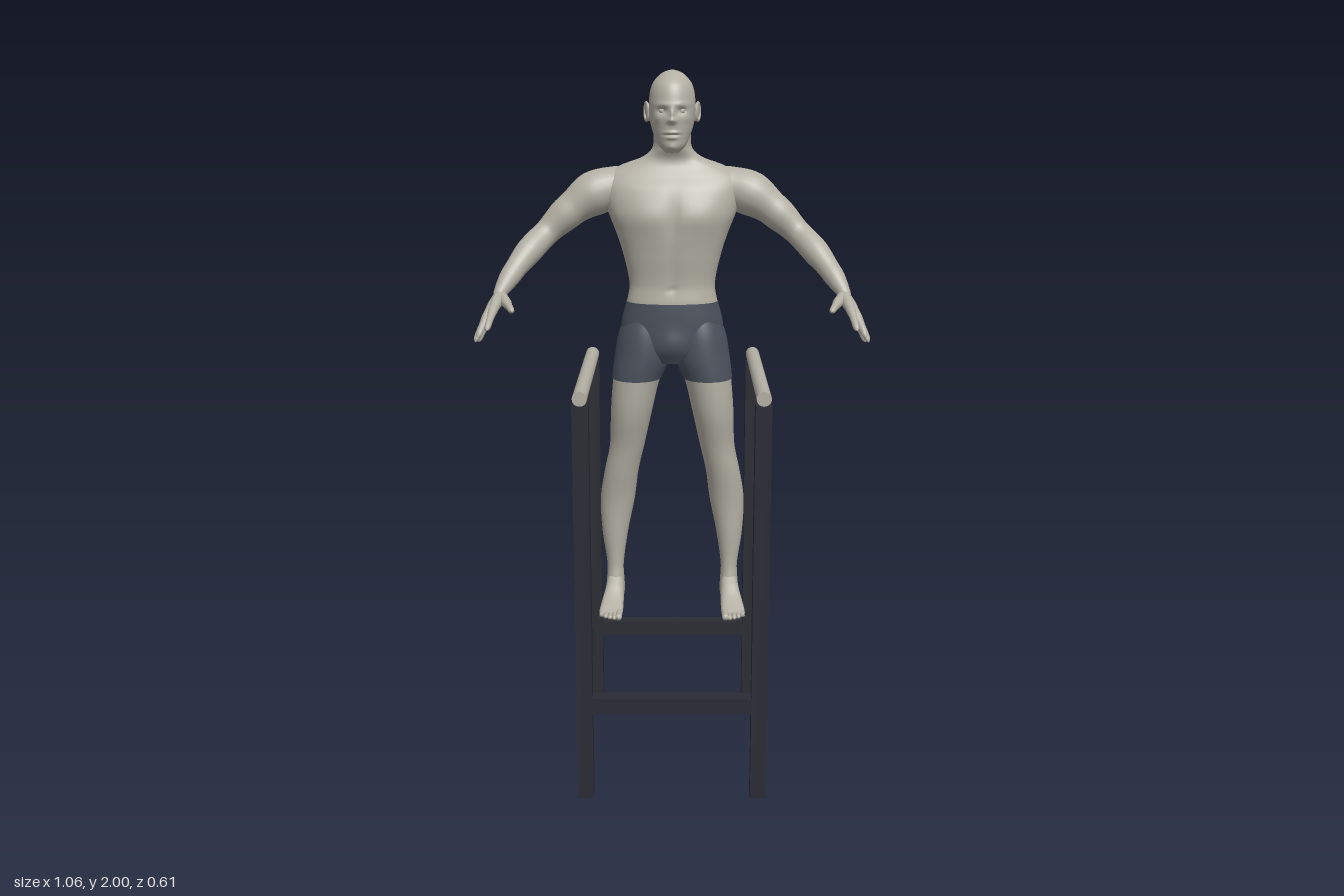
import * as THREE from 'three';
import { mergeVertices } from 'three/addons/utils/BufferGeometryUtils.js';

const mat = (name, color) => {
  const m = new THREE.MeshStandardMaterial({ color });
  m.name = name;
  return m;
};

// Smooth interpolation of section rows [t, centreX, halfWidth, front, back]
function sample(keys, t) {
  let i = 0;
  while (i < keys.length - 2 && t > keys[i + 1][0]) i++;
  const a = keys[i], b = keys[i + 1], h = b[0] - a[0];
  const p = keys[i - 1] || a, n = keys[i + 2] || b;
  const s = THREE.MathUtils.clamp((t - a[0]) / h, 0, 1), s2 = s * s, s3 = s2 * s;
  return [1, 2, 3, 4].map((c) => {
    const ma = ((b[c] - p[c]) / (b[0] - p[0])) * h, mb = ((n[c] - a[c]) / (n[0] - a[0])) * h;
    return (2 * s3 - 3 * s2 + 1) * a[c] + (s3 - 2 * s2 + s) * ma + (3 * s2 - 2 * s3) * b[c] + (s3 - s2) * mb;
  });
}

// Loft of upright rings; bumps are [side, x, y, radiusX, radiusY, height], mirrored in x
function loft(keys, y0, y1, { rings = 40, segs = 48, e = 1, grow = 0, bumps = [] } = {}) {
  const pos = [], idx = [];
  const pow = (v) => Math.sign(v) * Math.abs(v) ** e;
  for (let j = 0; j <= rings; j++) {
    const y = y0 + ((y1 - y0) * j) / rings;
    const [cx, hw, f, b] = sample(keys, y);
    for (let i = 0; i < segs; i++) {
      const a = (i / segs) * Math.PI * 2, s = Math.sin(a);
      const x = cx + (hw + grow) * pow(Math.cos(a));
      let z = (f + b) / 2 + ((f - b) / 2 + grow) * pow(s);
      for (const [side, bx, by, rx, ry, amp] of bumps) {
        if (s * side <= 0) continue;
        const dx = (Math.abs(x) - bx) / rx, dy = (y - by) / ry;
        z += side * amp * Math.exp(-dx * dx - dy * dy) * Math.min(1, Math.abs(s) * 2);
      }
      pos.push(x, y, z);
    }
  }
  for (let j = 0; j < rings; j++) for (let i = 0; i < segs; i++) {
    const a = j * segs + i, b = j * segs + ((i + 1) % segs);
    idx.push(a, a + segs, b, b, a + segs, b + segs);
  }
  // End caps with their own vertices so that the rims stay crisp
  for (const [j, top] of [[0, false], [rings, true]]) {
    const start = pos.length / 3, ring = pos.slice(j * segs * 3, (j + 1) * segs * 3);
    const [cx, , f, b] = sample(keys, top ? y1 : y0);
    pos.push(...ring, cx, top ? y1 : y0, (f + b) / 2);
    for (let i = 0; i < segs; i++) {
      const p = start + i, q = start + ((i + 1) % segs);
      idx.push(start + segs, top ? q : p, top ? p : q);
    }
  }
  const g = new THREE.BufferGeometry();
  g.setAttribute('position', new THREE.Float32BufferAttribute(pos, 3));
  g.setIndex(idx);
  g.computeVertexNormals();
  return g;
}

// Round limb along points [x, y, z, radius] with a rounded end
function limb(pts, steps = 24, segs = 14) {
  const curve = new THREE.CatmullRomCurve3(pts.map((p) => new THREE.Vector3(p[0], p[1], p[2])));
  const g = new THREE.TubeGeometry(curve, steps, 1, segs);
  const P = g.attributes.position, v = new THREE.Vector3();
  for (let k = 0; k < P.count; k++) {
    const u = Math.floor(k / (segs + 1)) / steps, c = curve.getPointAt(u);
    const t = curve.getUtoTmapping(u) * (pts.length - 1), i = Math.min(Math.floor(t), pts.length - 2);
    const w = THREE.MathUtils.smoothstep(t - i, 0, 1);
    let r = THREE.MathUtils.lerp(pts[i][3], pts[i + 1][3], w);
    if (u > 0.9) r *= Math.sqrt(Math.max(0.0004, 1 - ((u - 0.9) / 0.1) ** 2));
    v.fromBufferAttribute(P, k).sub(c).multiplyScalar(r).add(c);
    P.setXYZ(k, v.x, v.y, v.z);
  }
  g.deleteAttribute('uv');
  g.deleteAttribute('normal');
  const merged = mergeVertices(g, 1e-5);
  merged.computeVertexNormals();
  return merged;
}

const TORSO = [
  [1.2, 0, 0.05, 0.03, -0.07], [1.24, 0, 0.13, 0.045, -0.11], [1.3, 0, 0.142, 0.05, -0.122],
  [1.37, 0, 0.127, 0.05, -0.108], [1.42, 0, 0.12, 0.045, -0.1], [1.5, 0, 0.136, 0.054, -0.114],
  [1.56, 0, 0.155, 0.06, -0.126], [1.62, 0, 0.178, 0.058, -0.134], [1.68, 0, 0.19, 0.042, -0.134],
  [1.72, 0, 0.183, 0.015, -0.124], [1.745, 0, 0.14, 0, -0.115], [1.765, 0, 0.085, -0.002, -0.108],
  [1.79, 0, 0.056, 0.01, -0.102], [1.83, 0, 0.051, 0.018, -0.098], [1.87, 0, 0.045, 0.015, -0.092],
];
const TORSO_BUMPS = [
  [1, 0.075, 1.61, 0.065, 0.045, 0.009], [1, 0, 1.6, 0.014, 0.07, -0.007], [1, 0, 1.46, 0.012, 0.07, -0.004],
  [1, 0, 1.41, 0.008, 0.008, -0.005], [-1, 0, 1.54, 0.02, 0.15, -0.012], [-1, 0.085, 1.65, 0.045, 0.055, 0.007],
  [-1, 0.065, 1.29, 0.05, 0.05, 0.01], [-1, 0, 1.28, 0.014, 0.06, -0.018], [1, 0, 1.25, 0.035, 0.04, 0.01],
];
const HEAD = [
  [1.782, 0, 0.018, 0.054, 0.01], [1.8, 0, 0.036, 0.065, -0.025], [1.82, 0, 0.046, 0.068, -0.055],
  [1.85, 0, 0.057, 0.071, -0.086], [1.88, 0, 0.062, 0.073, -0.099], [1.92, 0, 0.063, 0.07, -0.102],
  [1.96, 0, 0.055, 0.056, -0.09], [1.985, 0, 0.036, 0.028, -0.064], [1.996, 0, 0.018, 0.003, -0.04],
  [2, 0, 0.002, -0.016, -0.02],
];
const HEAD_BUMPS = [
  [1, 0.026, 1.893, 0.013, 0.009, -0.01], [1, 0.025, 1.91, 0.02, 0.007, 0.003], [1, 0.04, 1.872, 0.012, 0.012, 0.003],
  [1, 0, 1.885, 0.007, 0.017, 0.009], [1, 0, 1.868, 0.012, 0.008, 0.011], [1, 0, 1.837, 0.018, 0.004, 0.005],
  [1, 0, 1.823, 0.016, 0.005, 0.005], [1, 0, 1.83, 0.02, 0.0025, -0.004], [1, 0, 1.797, 0.016, 0.01, 0.004],
];
const LEG = [
  [0.468, 0.168, 0.022, -0.02, -0.09], [0.49, 0.168, 0.026, -0.01, -0.098], [0.53, 0.168, 0.026, -0.01, -0.084],
  [0.58, 0.168, 0.024, -0.018, -0.078], [0.68, 0.168, 0.038, -0.015, -0.098], [0.78, 0.16, 0.05, -0.01, -0.113],
  [0.87, 0.147, 0.049, 0.005, -0.1], [0.95, 0.13, 0.05, 0.018, -0.092], [1.05, 0.117, 0.059, 0.042, -0.1],
  [1.15, 0.101, 0.067, 0.05, -0.102], [1.215, 0.083, 0.077, 0.051, -0.118], [1.28, 0.078, 0.07, 0.045, -0.12],
  [1.34, 0.072, 0.05, 0.03, -0.09],
];
// Foot sections run heel to toe: [z, centreX, halfWidth, -bottom, -top]
const FOOT = [
  [-0.099, 0.167, 0.01, -0.475, -0.5], [-0.085, 0.167, 0.023, -0.464, -0.53], [-0.04, 0.168, 0.026, -0.464, -0.56],
  [0, 0.17, 0.028, -0.466, -0.54], [0.04, 0.174, 0.032, -0.464, -0.51], [0.085, 0.177, 0.034, -0.464, -0.488],
  [0.1, 0.177, 0.03, -0.467, -0.482],
];

export function createModel() {
  const skin = mat('skin', 0xb3afa3), cloth = mat('shorts fabric', 0x4b515d);
  const steel = mat('dark frame', 0x2b2b34), wood = mat('pale rail', 0xb3afa3);
  const root = new THREE.Group(), body = new THREE.Group(), frame = new THREE.Group();
  body.name = 'athlete';
  frame.name = 'parallelBars';
  root.add(body, frame);
  const add = (parent, name, geo, m, x = 0, y = 0, z = 0) => {
    const mesh = new THREE.Mesh(geo, m);
    mesh.name = name;
    mesh.position.set(x, y, z);
    parent.add(mesh);
    return mesh;
  };

  // Frame: four posts, two rails, two low braces
  for (const s of [-1, 1]) {
    for (const z of [-0.28, 0.28]) add(frame, 'post', new THREE.BoxGeometry(0.044, 1.142, 0.044), steel, 0.243 * s, 0.571, z);
    add(frame, 'rail', new THREE.CylinderGeometry(0.02, 0.02, 0.61, 24), wood, 0.243 * s, 1.162, 0).rotation.x = Math.PI / 2;
    add(frame, 'brace', new THREE.BoxGeometry(0.442, 0.044, 0.044), steel, 0, 0.283, 0.28 * s);
  }

  // Torso, head and shorts
  const tOpt = { segs: 80, e: 0.88, bumps: TORSO_BUMPS };
  add(body, 'torso', loft(TORSO, 1.365, 1.87, { ...tOpt, rings: 90 }), skin);
  add(body, 'shortsTop', loft(TORSO, 1.2, 1.37, { ...tOpt, rings: 40, grow: 0.002 }), cloth);
  add(body, 'head', loft(HEAD, 1.782, 2, { rings: 110, segs: 96, bumps: HEAD_BUMPS }), skin);

  // Limbs are built on the left and mirrored by turning the geometry inside out
  const mirror = (g) => {
    const m = g.clone().scale(-1, 1, 1), id = m.index.array;
    for (let i = 0; i < id.length; i += 3) [id[i], id[i + 1]] = [id[i + 1], id[i]];
    m.computeVertexNormals();
    return m;
  };
  const pair = (name, geo, m) => {
    add(body, name + 'Left', geo, m);
    add(body, name + 'Right', mirror(geo), m);
  };
  pair('leg', loft(LEG, 0.468, 1.16, { rings: 60, segs: 36 }), skin);
  pair('shortsLeg', loft(LEG, 1.15, 1.34, { rings: 24, segs: 48, grow: 0.003 }), cloth);
  pair('foot', loft(FOOT, -0.099, 0.1, { rings: 30, segs: 28, e: 0.85 }).rotateX(Math.PI / 2), skin);
  for (let i = 0; i < 5; i++) {
    const x = 0.153 + i * 0.0125, r = i ? 0.0065 : 0.0095, end = 0.128 - i * i * 0.0014;
    pair('toe', limb([[x, 0.478, 0.07, r], [x, 0.477, 0.095, r], [x + 0.001, 0.465 + r, end, r]], 14, 10), skin);
  }
  pair('arm', limb([
    [0.1, 1.685, -0.06, 0.05], [0.16, 1.68, -0.06, 0.06], [0.215, 1.667, -0.05, 0.062], [0.285, 1.62, -0.035, 0.047],
    [0.35, 1.56, -0.018, 0.036], [0.39, 1.52, 0.025, 0.037], [0.435, 1.463, 0.08, 0.029],
    [0.465, 1.415, 0.125, 0.02], [0.475, 1.395, 0.148, 0.018],
  ], 60, 24), skin);

  // Fingers fan out from the wrist, their bases forming the palm
  const wrist = [0.464, 1.413, 0.122];
  const tips = [[0.485, 1.338, 0.273], [0.512, 1.315, 0.25], [0.524, 1.297, 0.218], [0.52, 1.29, 0.18]];
  tips.forEach((tip, i) => {
    const at = (f, lift, r) => [...wrist.map((w, c) => w + (tip[c] - w) * f + (c === 1 ? lift : 0)), r];
    pair('finger', limb([at(0, 0, 0.015), at(0.28, 0.004, 0.016), at(0.52, 0.008, 0.013),
      at(0.76, 0.006, 0.0095), at(1, 0, 0.008 - (i === 3 ? 0.001 : 0))], 22, 12), skin);
  });
  pair('thumb', limb([[0.462, 1.41, 0.13, 0.014], [0.444, 1.396, 0.17, 0.014], [0.432, 1.39, 0.205, 0.01],
    [0.42, 1.383, 0.242, 0.008]], 20, 12), skin);

  // Ears and eyes
  for (const s of [-1, 1]) {
    const ear = add(body, 'ear', new THREE.SphereGeometry(1, 20, 14), skin, 0.066 * s, 1.889, -0.02);
    ear.scale.set(0.006, 0.026, 0.016);
    ear.rotation.set(-0.15, -0.4 * s, -0.15 * s);
    const rim = add(body, 'earRim', new THREE.TorusGeometry(0.016, 0.004, 8, 24), skin, 0.07 * s, 1.889, -0.022);
    rim.scale.set(0.85, 1.4, 1);
    rim.rotation.y = Math.PI / 2 - 0.4 * s;
    add(body, 'eye', new THREE.SphereGeometry(0.0095, 16, 12), skin, 0.026 * s, 1.893, 0.05);
  }
  return root;
}
